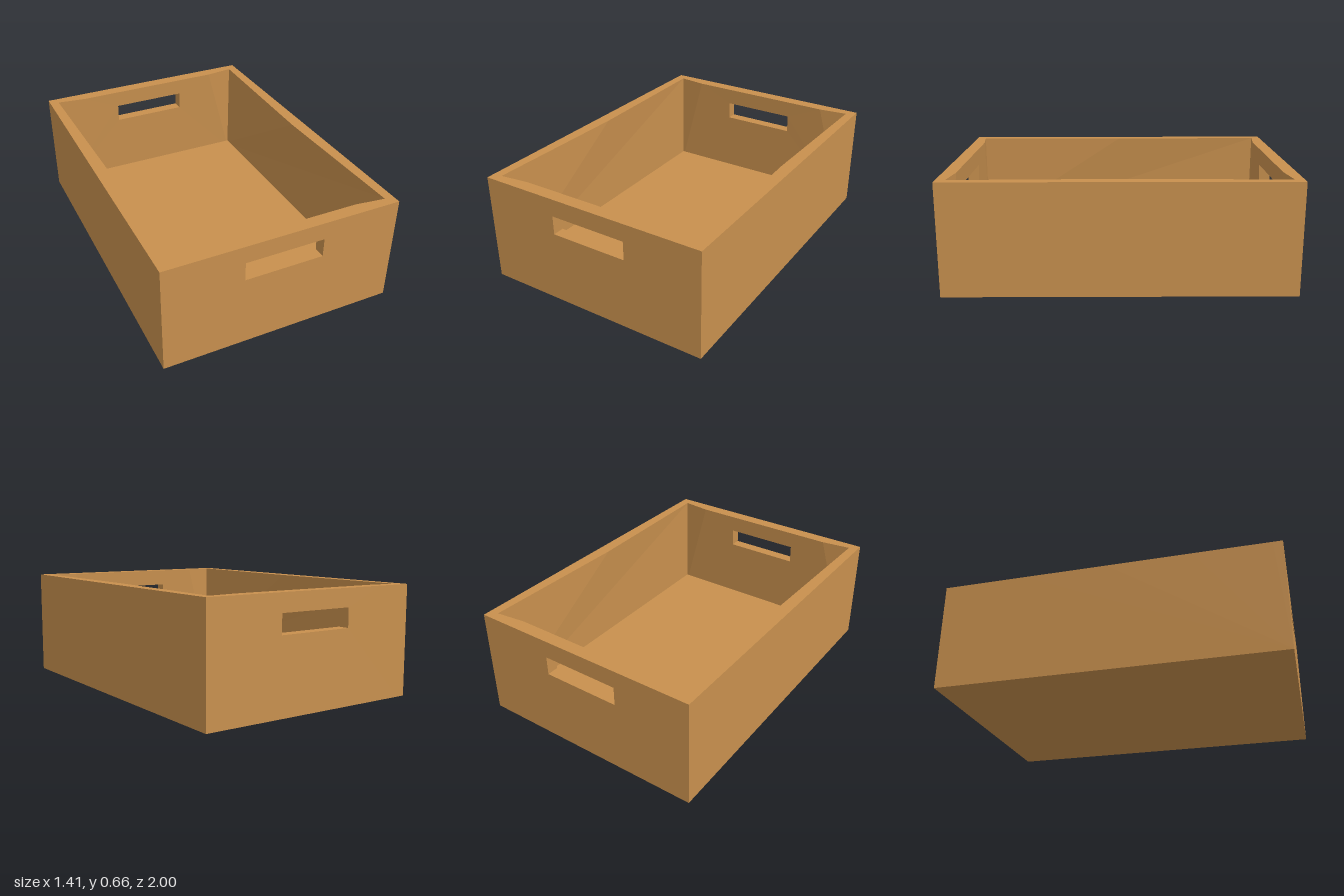
import * as THREE from 'three';

const W = 0.703, D = 1, H = 0.656;   // half width, half depth, height
const T = 0.055, FLOOR = 0.05;       // wall and floor thickness
const BULGE = 0.022;                 // inward swell of the inner faces at the rim

const material = new THREE.MeshStandardMaterial({ color: 0xc8904e });

// Upright board, outer face at z = 0, inner face at z = T swelling toward the rim
function board(half, rimPoints, swell, hole) {
  const shape = new THREE.Shape();
  shape.moveTo(-half, 0);
  shape.lineTo(half, 0);
  shape.lineTo(half, H);
  for (const x of rimPoints) shape.lineTo(x, H);
  shape.lineTo(-half, H);
  shape.closePath();
  if (hole) shape.holes.push(hole);
  const geo = new THREE.ExtrudeGeometry(shape, { depth: T, bevelEnabled: false });
  const p = geo.attributes.position;
  for (let i = 0; i < p.count; i++) {
    if (p.getZ(i) < T / 2) continue;
    const rise = Math.max(0, (p.getY(i) - FLOOR) / (H - FLOOR));
    p.setZ(i, T + BULGE * rise * swell(Math.abs(p.getX(i))));
  }
  geo.computeVertexNormals();
  return geo;
}

function add(group, geo, name, x, y, z, turn = 0) {
  const mesh = new THREE.Mesh(geo, material);
  mesh.name = name;
  mesh.position.set(x, y, z);
  mesh.rotation.y = turn;
  group.add(mesh);
}

export function createModel() {
  const group = new THREE.Group();
  group.name = 'crate';

  // Hand hole cut through both end walls
  const hole = new THREE.Path();
  hole.moveTo(-0.235, 0.437);
  hole.lineTo(-0.235, 0.55);
  hole.lineTo(0.235, 0.55);
  hole.lineTo(0.235, 0.437);
  hole.closePath();

  // End walls with hand holes
  const ix = W - T, iz = D - T;
  const endGeo = board(ix, [0.47, -0.47], x => Math.min(1, (ix - x) / (ix - 0.47)), hole);
  add(group, endGeo, 'backWall', 0, 0, -D);
  add(group, endGeo, 'frontWall', 0, 0, D, Math.PI);

  // Side walls run the full length
  const sideGeo = board(D, [iz, 0.5, 0, -0.5, -iz], z => Math.max(0, 1 - z / iz));
  add(group, sideGeo, 'rightWall', -W, 0, 0, Math.PI / 2);
  add(group, sideGeo, 'leftWall', W, 0, 0, -Math.PI / 2);

  // Floor panel between the walls
  add(group, new THREE.BoxGeometry(2 * ix, FLOOR, 2 * iz), 'floor', 0, FLOOR / 2, 0);
  return group;
}
